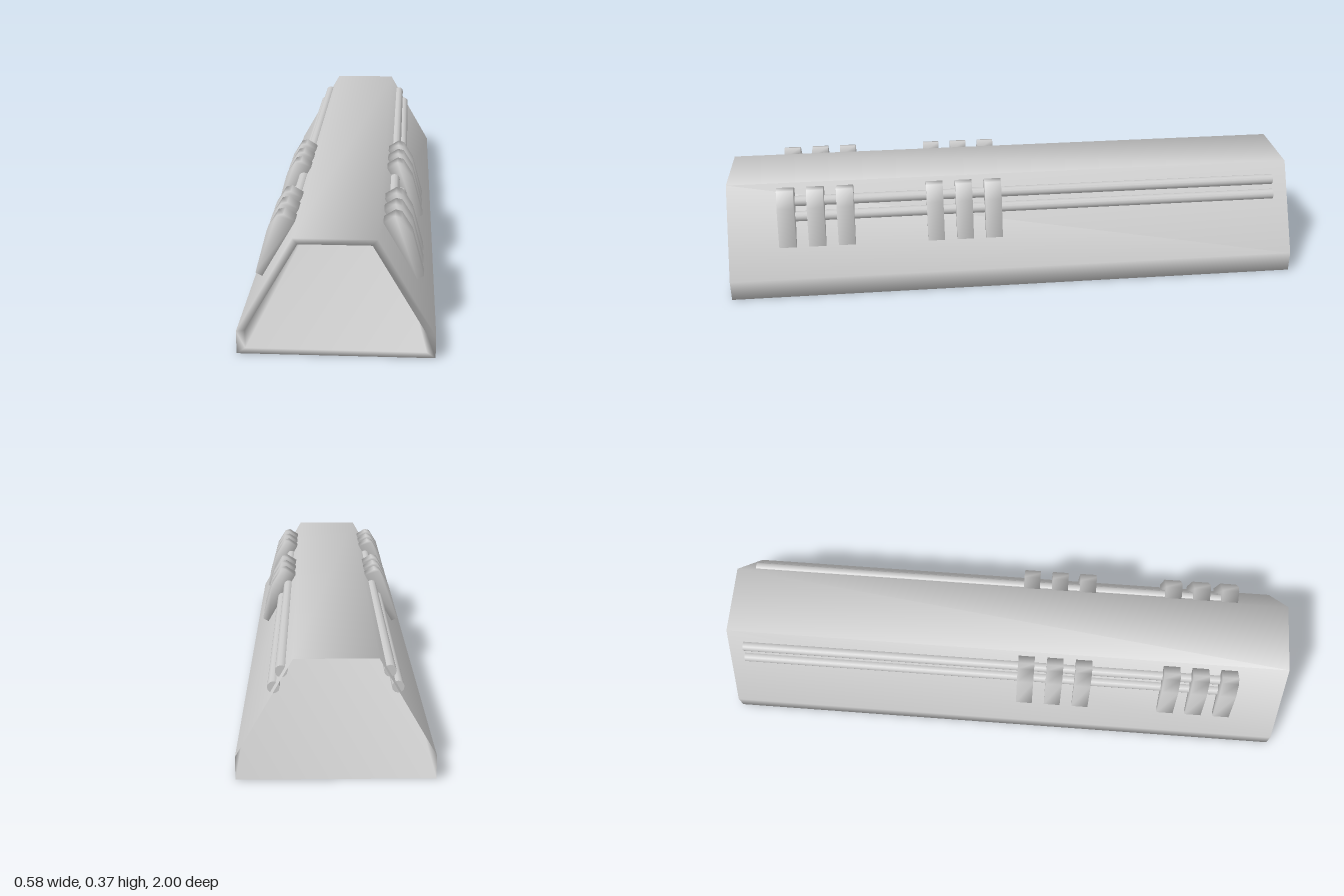
import * as THREE from 'three';
import { mergeVertices } from 'three/addons/utils/BufferGeometryUtils.js';

const grey = new THREE.MeshStandardMaterial({ color: 0xcccccc, side: THREE.DoubleSide });

function add(parent, geometry, name) {
  const mesh = new THREE.Mesh(geometry, grey);
  mesh.name = name;
  parent.add(mesh);
  return mesh;
}

// Six-sided section, counter-clockwise seen from the front
function section(halfBase, bottom, shoulder, halfTop, top, z) {
  return [
    [-halfBase, bottom, z], [halfBase, bottom, z], [halfBase, shoulder, z],
    [halfTop, top, z], [-halfTop, top, z], [-halfBase, shoulder, z],
  ];
}

// Joins the sections into one smooth skin and closes the last one
function loft(sections) {
  const n = sections[0].length;
  const index = [];
  for (let i = 0; i < sections.length - 1; i++) {
    for (let j = 0; j < n; j++) {
      const a = i * n + j, b = i * n + (j + 1) % n;
      index.push(a, b, b + n, a, b + n, a + n);
    }
  }
  const last = (sections.length - 1) * n;
  for (let j = 1; j < n - 1; j++) index.push(last, last + j, last + j + 1);
  const g = new THREE.BufferGeometry();
  g.setAttribute('position', new THREE.Float32BufferAttribute(sections.flat(2), 3));
  g.setIndex(index);
  g.computeVertexNormals();
  return g;
}

// Rounded-looking clamp: a humped profile extruded along the body
function clampGeometry(side) {
  const profile = [
    [0.13, 0.345], [0.165, 0.367], [0.185, 0.362], [0.217, 0.31],
    [0.253, 0.178], [0.233, 0.167],
  ].map(([x, y]) => new THREE.Vector2(side * x, y));
  const width = 0.058;
  const g = new THREE.ExtrudeGeometry(new THREE.Shape(profile), { depth: width, bevelEnabled: false });
  g.translate(0, 0, -width / 2);
  g.deleteAttribute('normal');
  g.deleteAttribute('uv');
  const smooth = mergeVertices(g);
  smooth.computeVertexNormals();
  return smooth;
}

export function createModel() {
  const model = new THREE.Group();
  model.name = 'housing';

  // Open-backed shell with a tapering recess in the front
  add(model, loft([
    section(0.288, 0, 0.07, 0.12, 0.363, -1),
    section(0.288, 0, 0.07, 0.12, 0.363, 1),
    section(0.262, 0.018, 0.075, 0.105, 0.345, 1),
    section(0.167, 0.052, 0.09, 0.04, 0.307, 0.2),
  ]), 'shell');

  for (const side of [-1, 1]) {
    const sideName = side > 0 ? 'left' : 'right';

    // Pair of long rods lying on the sloping wall
    for (const [x, y] of [[0.155, 0.308], [0.178, 0.26]]) {
      const rod = new THREE.CylinderGeometry(0.018, 0.018, 1.74, 12);
      rod.rotateX(Math.PI / 2);
      add(model, rod, sideName + 'Rod').position.set(side * x, y, -0.075);
    }

    // Two sets of three clamps over the rods
    const clamp = clampGeometry(side);
    for (const start of [0.075, 0.59]) {
      for (let i = 0; i < 3; i++) {
        add(model, clamp, sideName + 'Clamp').position.z = start + i * 0.102;
      }
    }
  }
  return model;
}
